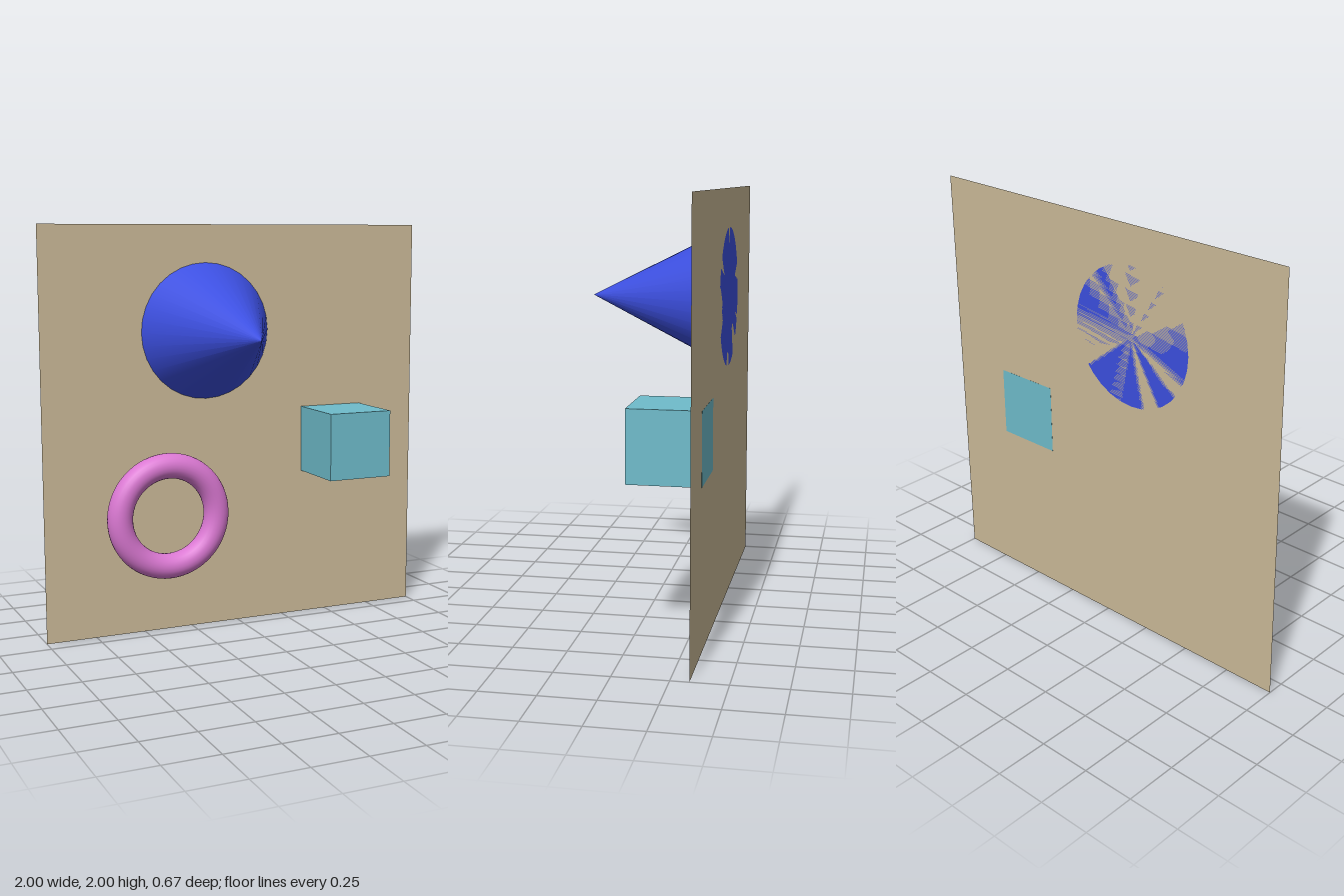
import * as THREE from 'three';

const BACK = -0.333; // depth of the backing panel

export function createModel() {
  const model = new THREE.Group();

  const add = (name, geometry, color, x, y, z, side = THREE.FrontSide) => {
    const material = new THREE.MeshStandardMaterial({ color, side });
    const mesh = new THREE.Mesh(geometry, material);
    mesh.name = name;
    mesh.position.set(x, y, z);
    model.add(mesh);
    return mesh;
  };

  // Flat square panel behind the solids
  add('backPanel', new THREE.PlaneGeometry(2, 2), 0xcbba98, 0, 1, BACK, THREE.DoubleSide);

  // Cone with its base on the panel and its tip towards the front
  const cone = add('cone', new THREE.ConeGeometry(0.333, 0.666, 32), 0x3c4fe0, -0.165, 1.483, 0);
  cone.rotation.x = Math.PI / 2;

  // Ring lying against the panel
  add('ring', new THREE.TorusGeometry(0.25, 0.0625, 24, 64), 0xda78d2, -0.392, 0.588, BACK + 0.0625);

  // Cube, its back a hair proud of the panel so the face stays visible
  const size = 0.333;
  add('cube', new THREE.BoxGeometry(size, size, size), 0x6fbccb, 0.525, 0.915, BACK + size / 2 - 0.0005);

  return model;
}
